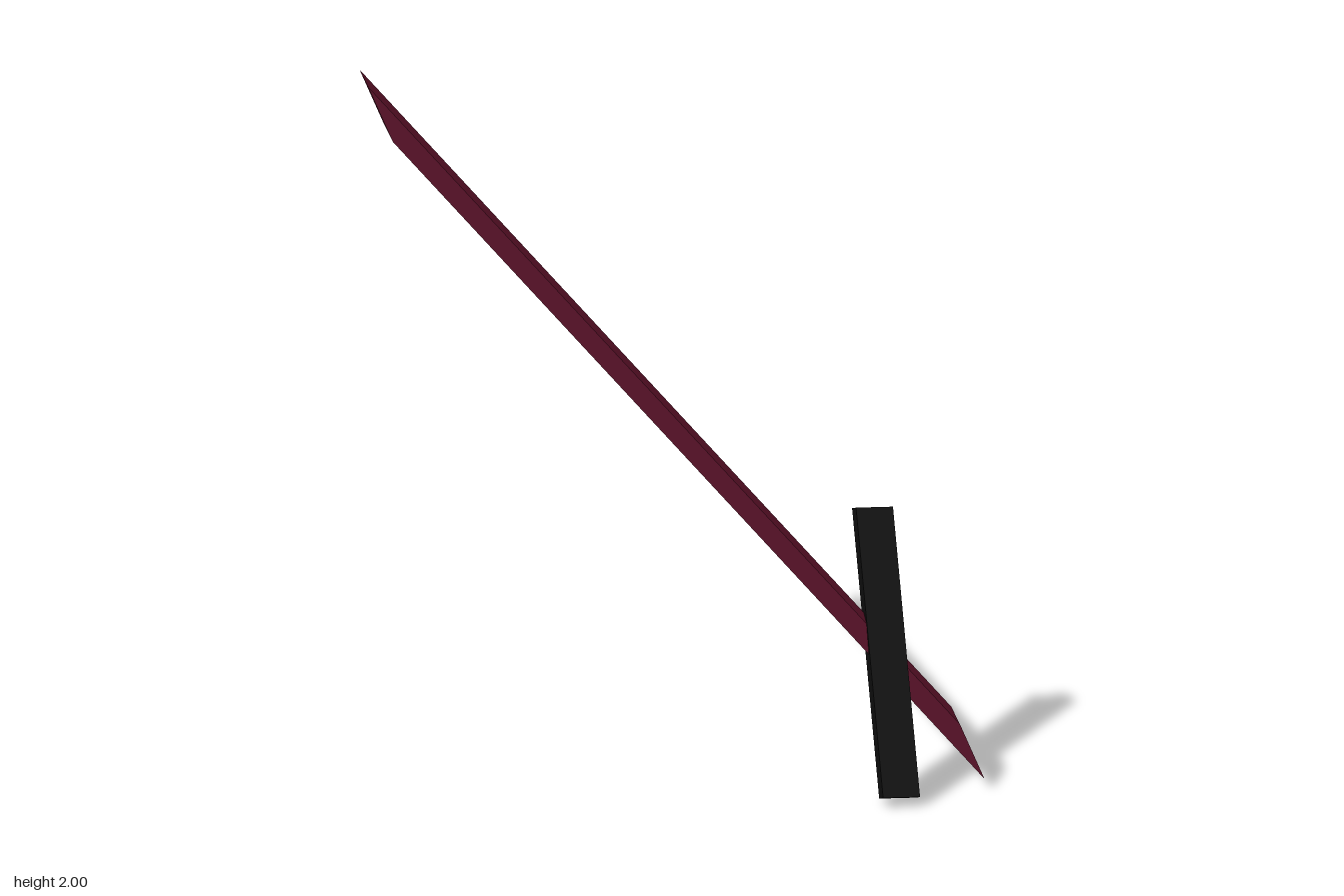
import * as THREE from 'three';

// Box spanned by three edge vectors (right-handed) around a centre; may be slanted.
function slantedBox(name, color, center, a, b, c) {
  const v = (p) => new THREE.Vector3(...p);
  const basis = new THREE.Matrix4().makeBasis(v(a), v(b), v(c)).setPosition(v(center));
  const geometry = new THREE.BoxGeometry(1, 1, 1).applyMatrix4(basis);
  const mesh = new THREE.Mesh(geometry, new THREE.MeshStandardMaterial({ color, flatShading: true }));
  mesh.name = name;
  return mesh;
}

export function createModel() {
  const group = new THREE.Group();
  group.name = 'sword';

  // Long thin blade: lozenge section with slanted, pointed ends
  group.add(slantedBox('blade', 0x5a1028, [0, 1.016, -0.052],
    [0.019, -0.034, 0.045], [0.062, -0.146, 0.043], [1.566, -1.787, 0.408]));

  // Short dark bar crossing the blade near its lower end
  group.add(slantedBox('crossguard', 0x0c0c0c, [0.567, 0.374, 0.092],
    [0.102, -0.008, -0.013], [-0.035, 0.712, -0.34], [0.004, 0.028, 0.06]));

  return group;
}
